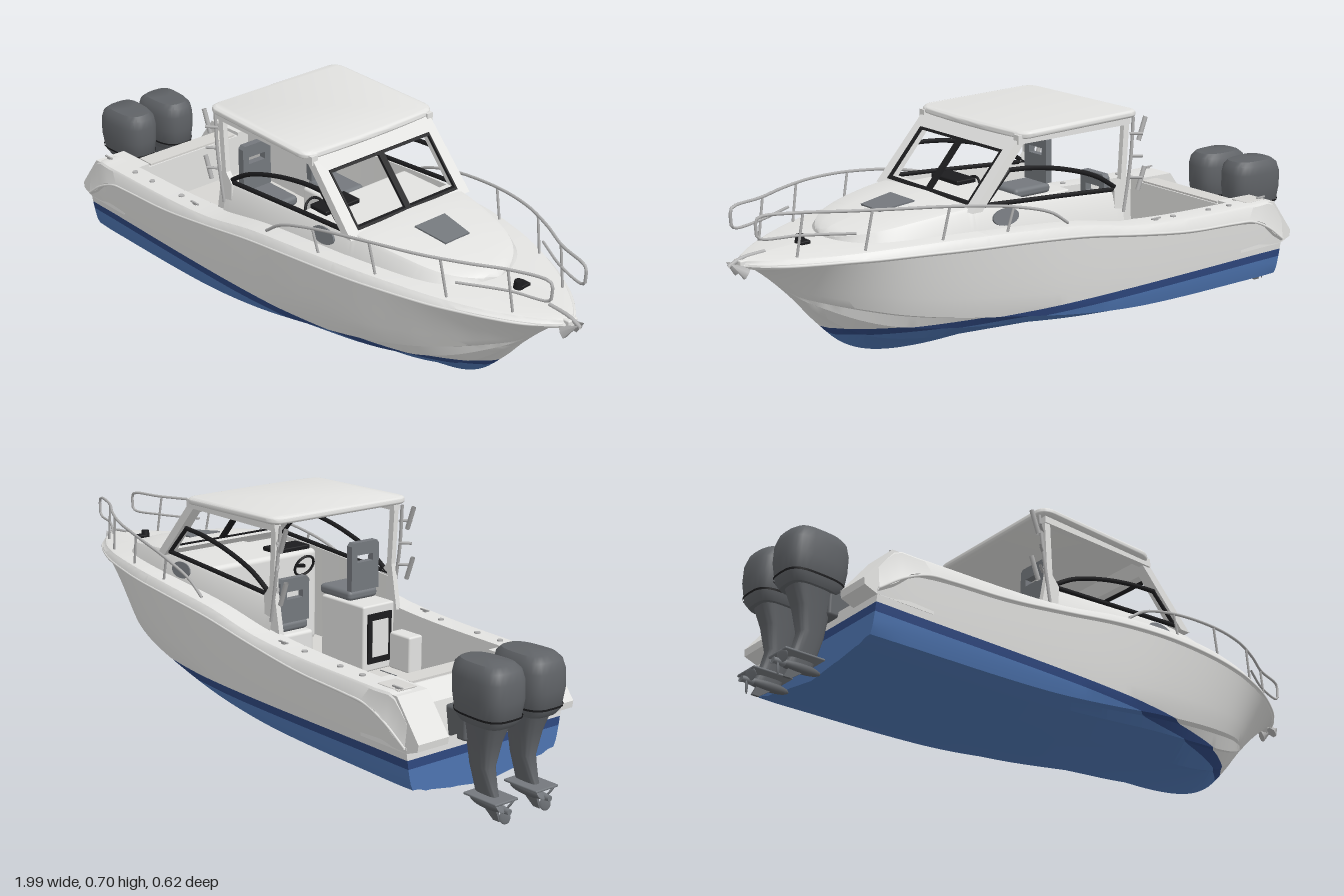
import * as THREE from 'three';
import { toCreasedNormals } from 'three/addons/utils/BufferGeometryUtils.js';
import { RoundedBoxGeometry } from 'three/addons/geometries/RoundedBoxGeometry.js';

const paint = (name, color, side = THREE.DoubleSide) => {
  const m = new THREE.MeshStandardMaterial({ color, side });
  m.name = name;
  return m;
};
const clamp = THREE.MathUtils.clamp;

// Hull stations: x, keelY, chineY, chineZ, rubY, rubZ, deckY
const HULL = [
  [-0.83, .055, .095, .262, .215, .288, .285], [-0.78, .055, .095, .264, .245, .291, .343],
  [-0.72, .055, .096, .265, .292, .294, .348], [-0.4, .055, .102, .267, .32, .299, .358],
  [-0.2, .055, .112, .267, .348, .301, .374], [0, .055, .135, .264, .38, .301, .41],
  [.2, .055, .168, .252, .4, .296, .43], [.4, .058, .2, .225, .41, .275, .44],
  [.55, .08, .228, .183, .415, .243, .441], [.65, .125, .252, .135, .415, .212, .438],
  [.74, .21, .275, .072, .415, .174, .434], [.8, .28, .295, .022, .413, .142, .431],
  [.87, .35, .355, .012, .41, .096, .428], [.93, .398, .4, .006, .408, .045, .425],
  [.955, .406, .407, 0, .408, .01, .423],
];
// Cabin trunk stations: x, half width, top height
const TRUNK = [[-.2, .235, .465], [0, .238, .48], [.2, .235, .495], [.35, .225, .502], [.5, .2, .488],
  [.6, .167, .472], [.66, .118, .459], [.69, .062, .45], [.7, .012, .442]];

// Smooth interpolation of one table column
function at(table, x, c) {
  const n = table.length - 1;
  x = clamp(x, table[0][0], table[n][0]);
  let i = 0;
  while (i < n - 1 && x > table[i + 1][0]) i++;
  const slope = k => {
    const a = table[Math.max(k - 1, 0)], b = table[Math.min(k + 1, n)];
    return (b[c] - a[c]) / (b[0] - a[0]);
  };
  const a = table[i], b = table[i + 1], h = b[0] - a[0], t = (x - a[0]) / h;
  return a[c] * (1 + 2 * t) * (1 - t) ** 2 + b[c] * t * t * (3 - 2 * t)
    + h * t * (1 - t) * (slope(i) * (1 - t) - slope(i + 1) * t);
}
const range = (a, b, n) => Array.from({ length: n + 1 }, (_, i) => a + (b - a) * i / n);

// Skin a grid of points
function loft(rows, crease = .5) {
  const pos = rows.flat(2), idx = [], w = rows[0].length;
  for (let i = 0; i < rows.length - 1; i++) for (let j = 0; j < w - 1; j++) {
    const a = i * w + j, b = a + w;
    idx.push(a, a + 1, b, b, a + 1, b + 1);
  }
  const g = new THREE.BufferGeometry();
  g.setAttribute('position', new THREE.Float32BufferAttribute(pos, 3));
  g.setIndex(idx);
  return toCreasedNormals(g, crease);
}

// Half section of the hull from keel to rub rail as [y, z]
function section(x) {
  const [ky, cy, cz, ry, rz] = [1, 2, 3, 4, 5].map(c => at(HULL, x, c));
  const bottom = [[0, 0], [.36, .4], [.37, .46], [.7, .76], [.71, .82], [.96, .92], [1, 1]];
  const pts = bottom.map(([v, u]) => [ky + (cy - ky) * v, cz * u]);
  const p = THREE.MathUtils.lerp(.62, .95, clamp((x - .1) / .6, 0, 1));
  for (const t of range(1 / 7, 1, 6)) pts.push([cy + (ry - cy) * t, cz + (rz - cz) * t ** p]);
  return pts;
}
function zAt(pts, y) {
  for (let i = 1; i < pts.length; i++) if (y <= pts[i][0]) {
    const [a, b] = [pts[i - 1], pts[i]];
    return a[1] + (b[1] - a[1]) * clamp((y - a[0]) / Math.max(b[0] - a[0], 1e-6), 0, 1);
  }
  return pts[pts.length - 1][1];
}
// Full-width slice of hull between two heights, with its transom
function hullBand(lo, hi) {
  const half = x => {
    const pts = section(x), k = pts[0][0];
    return pts.map(p => {
      const y = clamp(p[0], Math.max(lo, k), Math.max(hi, k));
      return [x, y, zAt(pts, y)];
    });
  };
  const flip = h => h.map(([x, y, z]) => [x, y, -z]);
  const rows = range(-.83, .955, 90).map(x => [...flip(half(x)).reverse(), ...half(x)]);
  return [loft(rows), loft([half(-.83), flip(half(-.83))])];
}

export function createModel() {
  const boat = new THREE.Group();
  boat.name = 'boat';
  const white = paint('gelcoat white', 0xe2e2e0), sole = paint('cockpit sole', 0xd6d5d2);
  const blue = paint('bottom blue', 0x4d74b0), navy = paint('waterline navy', 0x2f4880);
  const engineGrey = paint('engine grey', 0x5f6266), seatGrey = paint('seat grey', 0x74787d);
  const steel = paint('steel', 0xb0b0b0), black = paint('black trim', 0x1c1c1e);

  const add = (name, geo, mat, parent = boat) => {
    const m = new THREE.Mesh(geo, mat);
    m.name = name;
    parent.add(m);
    return m;
  };
  const box = (name, x0, x1, y0, y1, z0, z1, mat, r = 0, parent = boat) => {
    const s = [x1 - x0, y1 - y0, z1 - z0];
    const g = r ? new RoundedBoxGeometry(...s, 3, r) : new THREE.BoxGeometry(...s);
    return add(name, g.translate((x0 + x1) / 2, (y0 + y1) / 2, (z0 + z1) / 2), mat, parent);
  };
  const tube = (name, pts, r, mat) => {
    const c = new THREE.CatmullRomCurve3(pts.map(p => new THREE.Vector3(...p)));
    return add(name, new THREE.TubeGeometry(c, pts.length * 6, r, 8), mat);
  };
  const poly = pts => new THREE.Shape(pts.map(p => new THREE.Vector2(...p)));
  const slab = (pts, z0, z1) => new THREE.ExtrudeGeometry(poly(pts), { depth: z1 - z0, bevelEnabled: false }).translate(0, 0, z0);

  // Hull
  for (const [name, lo, hi, mat] of [['hullBottom', 0, .155, blue], ['waterlineStripe', .155, .18, navy], ['hullTopsides', .18, 1, white]])
    hullBand(lo, hi).forEach((g, i) => add(name + (i ? 'Transom' : ''), g, mat));

  // Gunwales, side decks, foredeck, cabin walls
  const gunwale = (x, s, inner) => {
    const ry = at(HULL, x, 4), rz = at(HULL, x, 5), dy = at(HULL, x, 6), z = d => s * Math.max(rz + d, 0);
    return [[x, ry - .008, z(0)], [x, ry, z(.007)], [x, ry + .006, z(.005)], [x, dy - .008, z(-.002)],
      [x, dy - .002, z(-.007)], [x, dy, z(-.016)], [x, dy + (inner ? 0 : .004), s * inner]];
  };
  const trunk = (x, s, full) => {
    const w = at(TRUNK, x, 1), top = at(TRUNK, x, 2), k = Math.min(1, w / .1);
    const pts = [[x, at(HULL, x, 6) - .004, s * w], [x, top - .012, s * (w - .015 * k)], [x, top - .003, s * (w - .022 * k)], [x, top, s * (w - .032 * k)]];
    return full ? [...pts, [x, top + .006 * k, s * w * .45], [x, top + .008 * k, 0]] : [...pts, [x, .21, s * (w - .034)]];
  };
  for (const s of [1, -1]) {
    add('sideDeck', loft(range(-.83, .34, 50).map(x => gunwale(x, s, .222))), white);
    add('foredeck', loft(range(.34, .955, 40).map(x => gunwale(x, s, 0))), white);
    add('cockpitLiner', loft(range(-.66, .34, 30).map(x => [[x, at(HULL, x, 6), s * .222], [x, .2, s * .222]])), white);
    add('cabinSide', loft(range(-.2, .34, 20).map(x => trunk(x, s, false))), white);
    add('cabinTrunk', loft(range(.34, .7, 36).map(x => trunk(x, s, true))), white);
    tube('rubRail', range(-.83, .955, 24).map(x => [x, at(HULL, x, 4), s * (at(HULL, x, 5) + .005)]), .004, white);

    // Stern quarter overhanging the transom
    const q = slab([[-.83, .2], [-.87, .215], [-.873, .235], [-.79, .343], [-.65, .347], [-.65, .2]], .18, .286);
    add('sternQuarter', s > 0 ? q : q.translate(0, 0, -.466), white);

    // Bow rail, short lower rail and stanchions
    const edge = (x, d) => s * (at(HULL, x, 5) - d);
    tube('bowRail', [[.06, .425, edge(.06, .018)], [.12, .465, edge(.12, .018)], [.25, .503, edge(.25, .018)], [.45, .533, edge(.45, .018)],
      [.6, .544, edge(.6, .018)], [.72, .548, edge(.72, .025)], [.83, .55, s * .098], [.928, .55, s * .067], [.94, .542, s * .065], [.94, .498, s * .065]], .0045, steel);
    tube('lowerRail', [[.94, .5, s * .065], [.93, .49, s * .067], [.83, .488, s * .098], [.7, .486, edge(.7, .022)]], .004, steel);
    for (const [x, y, z] of [[.25, .503, edge(.25, .018)], [.45, .533, edge(.45, .018)], [.66, .546, edge(.66, .02)], [.82, .55, s * .102]])
      tube('railStanchion', [[x + .02, at(HULL, x, 6), edge(x + .02, .02)], [x, y, z]], .0038, steel);

    // Side window frame
    const wz = s * .218;
    tube('sideWindowFrame', [[-.19, .468, wz], [-.1, .522, wz], [.02, .562, wz], [.14, .585, wz], [.225, .592, wz]], .007, black);
    tube('sideWindowFrontFrame', [[.222, .592, wz], [.305, .508, wz]], .006, black);
    tube('sideWindowSill', [[-.19, .47, wz], [.06, .488, wz], [.31, .505, wz]], .007, black);

    // Hardtop posts, side beam and rod holders
    add('hardtopPost', slab([[-.235, .365], [-.17, .37], [-.165, .47], [-.19, .5], [-.2, .68], [-.22, .68], [-.21, .5]], s * .22 - .008, s * .22 + .008), white);
    tube('hardtopRearPipe', [[-.2, .4, s * .23], [-.225, .55, s * .23], [-.238, .68, s * .225]], .005, steel);
    box('hardtopBeam', -.22, .2, .662, .688, s * .221 - .011, s * .221 + .011, white);
    for (const y of [.5, .565, .632]) tube('rodHolderArm', [[-.225, y, s * .225], [-.255, y, s * .25]], .0045, steel);
    for (const y of [.46, .61]) tube('rodHolder', [[-.25, y, s * .236], [-.276, y + .068, s * .236]], .007, steel);

    // Cabin portlight
    const port = add('portlight', new THREE.CylinderGeometry(.024, .024, .006, 24).scale(1.9, 1, 1), seatGrey);
    port.rotation.x = s * 1.36;
    port.position.set(.24, .462, s * .226);

    // Gunwale cleats and rod sockets
    for (const x of [-.76, -.3]) {
      const y = at(HULL, x, 6), z = edge(x, .035);
      box('cleat', x - .018, x + .018, y + .004, y + .008, z - .003, z + .003, steel);
      box('cleatFoot', x - .007, x + .007, y, y + .005, z - .003, z + .003, steel);
    }
    for (const x of [-.62, -.53, -.38]) add('rodSocket', new THREE.CylinderGeometry(.009, .009, .004, 14).translate(x, at(HULL, x, 6) + .002, s * .255), steel);
  }

  // Cockpit sole, transom bench and splash well
  box('cockpitSole', -.66, .32, .19, .2, -.225, .225, sole);
  add('transomBench', slab([[-.8, .2], [-.785, .3], [-.72, .335], [-.65, .335], [-.65, .2]], -.185, .185), white);
  box('transomLid', -.715, -.655, .335, .341, -.17, .17, sole);
  box('sternDoor', -.77, -.69, .346, .351, -.265, -.2, sole, .002);
  for (const z of [-.13, .13]) box('soleSeam', -.64, -.26, .2, .202, z - .0015, z + .0015, seatGrey);
  box('soleSeamCross', -.44, -.437, .2, .202, -.13, .13, seatGrey);

  // Windshield surround, raked back to the hardtop
  const rake = (shape, depth, off) => {
    const g = new THREE.ExtrudeGeometry(shape, { depth, bevelEnabled: false }).rotateY(Math.PI / 2);
    const p = g.attributes.position;
    for (let i = 0; i < p.count; i++) p.setX(i, p.getX(i) + off + .355 - (p.getY(i) - .495) * .165 / .185);
    g.computeVertexNormals();
    return g;
  };
  const rect = (a, b, c, d) => [[a, c], [b, c], [b, d], [a, d]];
  const surround = poly([[-.23, .492], [.23, .492], [.225, .685], [-.225, .685]]);
  surround.holes.push(poly(rect(-.19, .19, .51, .643)));
  add('windshieldSurround', rake(surround, .035, -.032), white);
  const frame = poly(rect(-.192, .192, .508, .645));
  for (const s of [1, -1]) frame.holes.push(poly(rect(Math.min(s * .01, s * .186), Math.max(s * .01, s * .186), .514, .639)));
  add('windshieldFrame', rake(frame, .012, -.006), black);

  // Hardtop: rounded plan, bevelled edge, gentle crown
  const plan = new THREE.Shape();
  plan.moveTo(-.2, -.238).lineTo(.15, -.238).quadraticCurveTo(.182, -.238, .184, -.2).quadraticCurveTo(.194, 0, .184, .2)
    .quadraticCurveTo(.182, .238, .15, .238).lineTo(-.2, .238).quadraticCurveTo(-.232, .238, -.232, .21).lineTo(-.232, -.21).quadraticCurveTo(-.232, -.238, -.2, -.238);
  const top = new THREE.ExtrudeGeometry(plan, { depth: .004, bevelThickness: .009, bevelSize: .012, bevelSegments: 4, curveSegments: 8 }).rotateX(-Math.PI / 2);
  const tp = top.attributes.position;
  for (let i = 0; i < tp.count; i++) tp.setY(i, tp.getY(i) + .692 - .25 * Math.max(tp.getX(i), 0) ** 2);
  add('hardtop', toCreasedNormals(top, .7), white);

  // Foredeck hatch
  const hatch = add('deckHatch', new THREE.ExtrudeGeometry(poly([[-.055, -.058], [.055, -.046], [.055, .046], [-.055, .058]]),
    { depth: .006, bevelEnabled: false }).rotateX(-Math.PI / 2), seatGrey);
  hatch.position.set(.485, .495, 0);
  hatch.rotation.z = -.12;

  // Helm console
  box('dashboard', .12, .33, .2, .488, -.2, .2, white, .015);
  box('instrumentPanel', .13, .2, .488, .502, .05, .18, black, .004);
  const wheel = add('steeringWheel', new THREE.TorusGeometry(.035, .004, 8, 24).rotateY(Math.PI / 2), black);
  wheel.position.set(.09, .45, .125);
  wheel.rotation.z = .4;
  tube('steeringColumn', [[.09, .45, .125], [.14, .44, .125]], .006, black);

  // Tall helm seat, low companion seat, cockpit units
  for (const [z, y0, y1] of [[.132, .43, .575], [-.132, .38, .508]]) {
    box('seatCushion', -.18, -.04, y0 - .03, y0, z - .055, z + .055, seatGrey, .012);
    const back = poly([[-.052, y0], [.052, y0], [.052, y1 - .01], [.044, y1], [-.044, y1], [-.052, y1 - .01]]);
    back.holes.push(poly(rect(-.03, .03, y1 - .06, y1 - .038)));
    add('seatBack', new THREE.ExtrudeGeometry(back, { depth: .022, bevelEnabled: false }).rotateY(Math.PI / 2).translate(-.185, 0, z), seatGrey);
  }
  box('companionSeatBase', -.2, -.06, .2, .35, -.19, -.075, white, .01);
  box('helmUnit', -.25, -.06, .2, .4, .07, .19, white, .006);
  box('helmUnitDoorFrame', -.256, -.249, .225, .375, .085, .175, black);
  box('helmUnitDoor', -.259, -.255, .245, .355, .1, .16, white);
  box('sideLocker', -.34, -.25, .2, .31, .17, .222, white, .006);

  // Anchor, roller and windlass
  box('bowRoller', .88, .965, .402, .424, -.018, .018, white, .004);
  tube('anchorShank', [[.88, .432, 0], [.95, .426, 0], [.99, .41, 0]], .006, steel);
  for (const s of [1, -1]) {
    const fluke = add('anchorFluke', new THREE.ConeGeometry(.02, .055, 6).scale(1, 1, .6), steel);
    fluke.position.set(.97, .405, s * .017);
    fluke.rotation.set(-s * .35, 0, -.9);
  }
  add('windlass', new THREE.CylinderGeometry(.012, .015, .024, 16).translate(.77, .446, 0), black);
  box('windlassMotor', .755, .785, .436, .446, -.032, 0, black, .003);

  // Twin outboards
  const rings = (levels, n = 28) => loft(levels.map(([y, x, l, w]) => range(0, Math.PI * 2, n).map(a => {
    const sq = v => Math.sign(v) * Math.abs(v) ** .65;
    return [x + l * sq(Math.cos(a)), y, w * sq(Math.sin(a)) * (1 - .14 * Math.cos(a))];
  })), .7);
  for (const z of [.075, -.075]) {
    const e = new THREE.Group();
    e.name = 'outboard';
    e.position.z = z;
    boat.add(e);
    add('cowl', rings([[.262, -.9, 0, 0], [.262, -.9, .075, .05], [.28, -.9, .09, .06], [.335, -.9, .098, .067], [.385, -.898, .098, .067],
      [.413, -.896, .09, .061], [.427, -.894, .074, .049], [.432, -.892, 0, 0]]), engineGrey, e);
    add('cowlSeam', rings([[.285, -.9, .0935, .0632], [.291, -.9, .0945, .0642]]), black, e);
    add('midsection', rings([[.27, -.9, .066, .042], [.21, -.893, .05, .032], [.14, -.89, .038, .022], [.085, -.905, .038, .015], [.04, -.92, .04, .01]]), engineGrey, e);
    box('cavitationPlate', -.985, -.865, .06, .067, -.042, .042, seatGrey, .003, e);
    add('gearcase', new THREE.SphereGeometry(1, 20, 12).scale(.066, .015, .014).translate(-.917, .04, 0), engineGrey, e);
    add('skeg', slab([[-.89, .04], [-.945, .04], [-.962, .003], [-.94, .003]], -.004, .004), engineGrey, e);
    box('mountBracket', -.86, -.78, .2, .285, -.035, .035, engineGrey, .008, e);
    const prop = new THREE.Group();
    prop.name = 'propeller';
    prop.position.set(-.978, .04, 0);
    e.add(prop);
    add('propHub', new THREE.CylinderGeometry(.011, .008, .034, 14).rotateZ(-Math.PI / 2), seatGrey, prop);
    for (let i = 0; i < 3; i++) {
      const blade = add('propBlade', new THREE.SphereGeometry(1, 14, 10).scale(.003, .019, .015).rotateY(.7).translate(0, .02, 0), seatGrey, prop);
      blade.rotation.x = Math.PI + i * Math.PI * 2 / 3;
    }
  }
  return boat;
}
